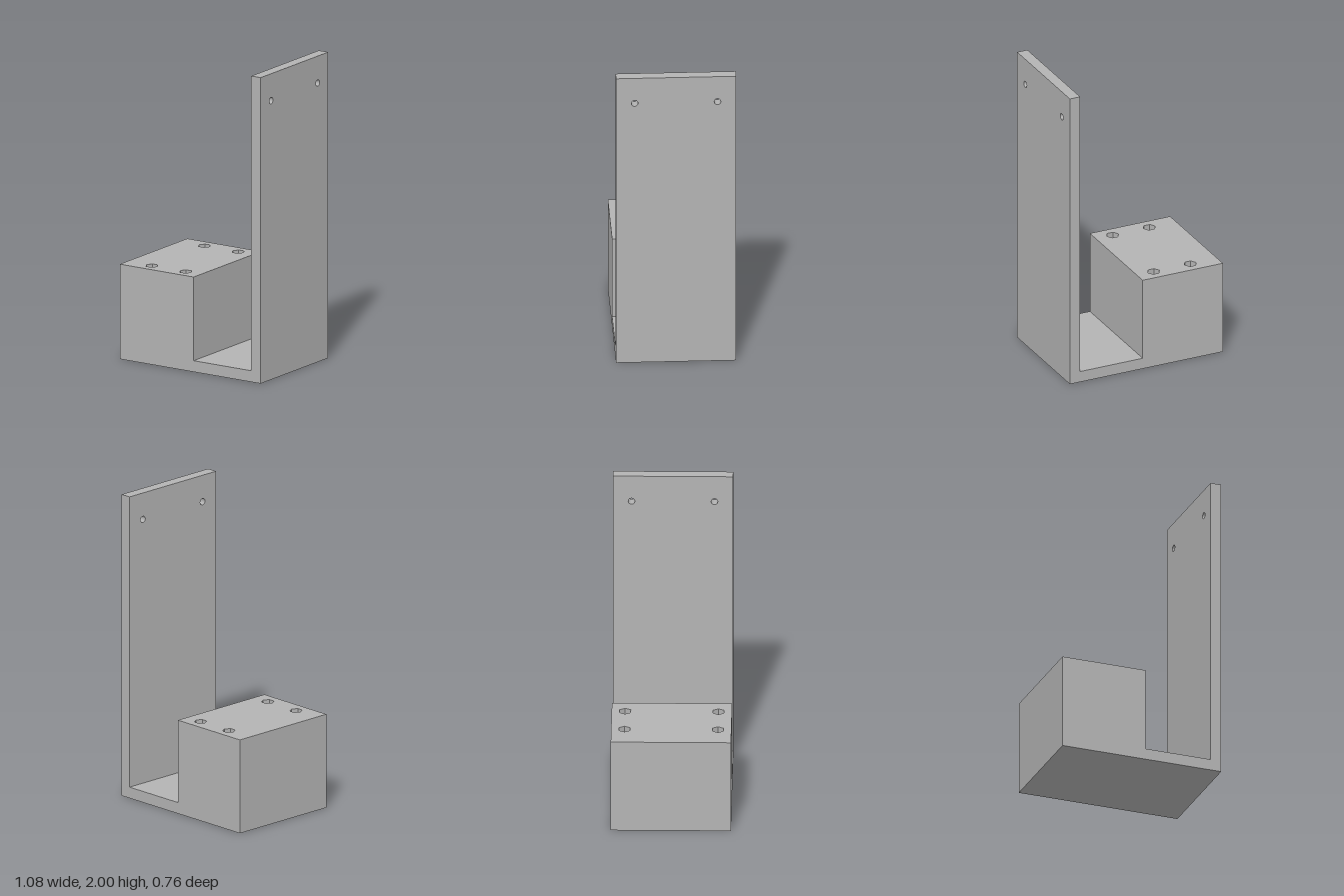
import * as THREE from 'three';

const HALF_X = 0.538, HALF_Z = 0.38;      // footprint
const BASE_TOP = 0.073, BLOCK_TOP = 0.62, HEIGHT = 2;
const BLOCK_X = 0.026, WALL_X = 0.466;    // edges of the gap
const HEX_DEPTH = 0.1, BORE_DEPTH = 0.4;

function rectangle(x0, x1, y0, y1) {
  return new THREE.Shape([
    new THREE.Vector2(x0, y0), new THREE.Vector2(x1, y0),
    new THREE.Vector2(x1, y1), new THREE.Vector2(x0, y1),
  ]);
}

// Regular polygon hole with a corner on +x
function polygonHole(cx, cy, radius, sides) {
  const points = [];
  for (let i = 0; i < sides; i++) {
    const a = -i / sides * Math.PI * 2;
    points.push(new THREE.Vector2(cx + radius * Math.cos(a), cy + radius * Math.sin(a)));
  }
  return new THREE.Path(points);
}

function extrude(shape, depth) {
  return new THREE.ExtrudeGeometry(shape, { depth, bevelEnabled: false });
}

export function createModel() {
  const group = new THREE.Group();
  group.name = 'mountingBracket';
  const grey = new THREE.MeshStandardMaterial({ color: 0xb3b3b3 });
  grey.name = 'grey';

  function add(name, geometry) {
    const mesh = new THREE.Mesh(geometry, grey);
    mesh.name = name;
    group.add(mesh);
  }

  // Horizontal slab between two heights, with optional bolt holes
  function slab(name, x1, y0, y1, radius = 0, sides = 0) {
    const shape = rectangle(-HALF_X, x1, -HALF_Z, HALF_Z);
    if (radius) {
      for (const x of [-0.35, -0.092]) {
        for (const z of [-0.295, 0.295]) shape.holes.push(polygonHole(x, z, radius, sides));
      }
    }
    add(name, extrude(shape, y1 - y0).rotateX(-Math.PI / 2).translate(0, y0, 0));
  }

  // Base and block: solid foot, round bores, hexagonal nut pockets
  const hexFloor = BLOCK_TOP - HEX_DEPTH, boreFloor = BLOCK_TOP - BORE_DEPTH;
  slab('basePlate', WALL_X, 0, BASE_TOP);
  slab('blockFoot', BLOCK_X, BASE_TOP, boreFloor);
  slab('blockBores', BLOCK_X, boreFloor, hexFloor, 0.02, 32);
  slab('blockNutPockets', BLOCK_X, hexFloor, BLOCK_TOP, 0.041, 6);

  // Upright wall with two through holes near the top
  const wall = rectangle(-HALF_Z, HALF_Z, 0, HEIGHT);
  for (const z of [-0.262, 0.262]) wall.holes.push(polygonHole(z, 1.824, 0.021, 32));
  add('uprightWall', extrude(wall, HALF_X - WALL_X).rotateY(Math.PI / 2).translate(WALL_X, 0, 0));

  return group;
}
